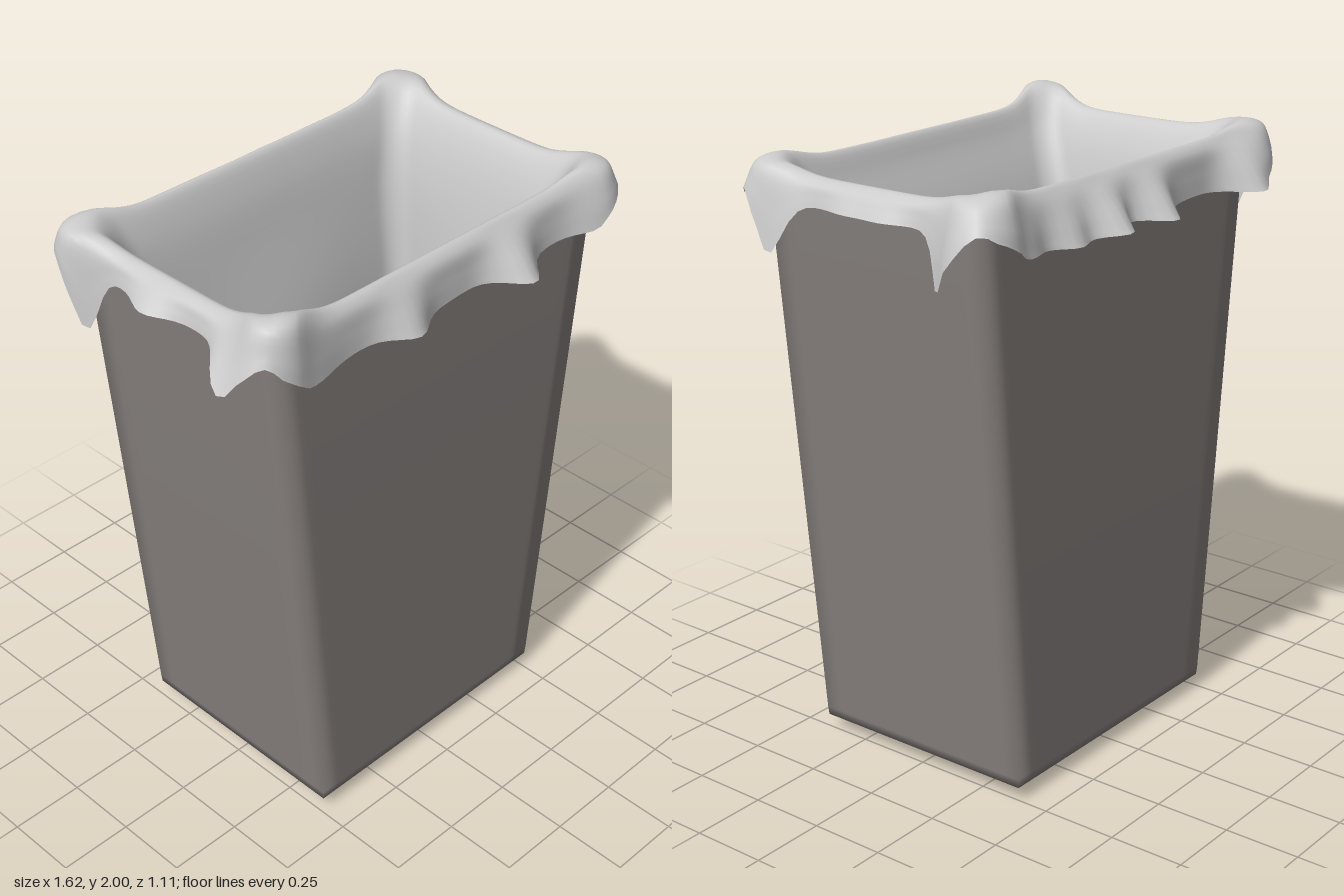
import * as THREE from 'three';

const LONG = 44, SHORT = 28, ARC = 8; // points per long side, short side and corner

// Rounded (or square-cornered) rectangle, same point order for every size, from +x through +z
function ring(hx, hz, r, cx = 0, cz = 0, square = false) {
  r = Math.min(r, hx, hz);
  const pts = [];
  const corners = [[1, 1], [-1, 1], [-1, -1], [1, -1]];
  corners.forEach(([sx, sz], k) => {
    const ax = sx * (hx - r), az = sz * (hz - r), start = k * Math.PI / 2;
    for (let i = 0; i <= ARC; i++) {
      const a = start + (i / ARC) * Math.PI / 2;
      const nx = Math.cos(a), nz = Math.sin(a);
      const q = square ? r / Math.max(Math.abs(nx), Math.abs(nz)) : r;
      pts.push({ x: cx + ax + q * nx, z: cz + az + q * nz, nx, nz });
    }
    // straight run to the next corner
    const [tx, tz] = corners[(k + 1) % 4];
    const n = k % 2 ? SHORT : LONG, e = start + Math.PI / 2;
    const nx = Math.cos(e), nz = Math.sin(e);
    const bx = tx * (hx - r), bz = tz * (hz - r);
    for (let i = 1; i < n; i++) {
      const t = i / n;
      pts.push({ x: cx + ax + (bx - ax) * t + r * nx, z: cz + az + (bz - az) * t + r * nz, nx, nz });
    }
  });
  return pts;
}

// Skin over closed rings of Vector3
function loft(rings) {
  const n = rings[0].length, pos = [], index = [];
  rings.forEach(rg => rg.forEach(p => pos.push(p.x, p.y, p.z)));
  for (let j = 0; j < rings.length - 1; j++) {
    for (let i = 0; i < n; i++) {
      const a = j * n + i, b = j * n + (i + 1) % n;
      index.push(a, a + n, b, b, a + n, b + n);
    }
  }
  const g = new THREE.BufferGeometry();
  g.setAttribute('position', new THREE.Float32BufferAttribute(pos, 3));
  g.setIndex(index);
  g.computeVertexNormals();
  return g;
}

// Tapered bin shell: underside, bevel, walls, lip, inner walls, inner floor
function createBin() {
  const sections = [
    [0.001, 0.001, 0], [0.36, 0.26, 0], [0.4, 0.3, 0.001], [0.5, 0.4, 0.05], [0.503, 0.402, 0.08],
    [0.59, 0.402, 0.98], [0.675, 0.402, 1.86], [0.668, 0.396, 1.87],
    [0.662, 0.39, 1.86], [0.48, 0.385, 0.07], [0.001, 0.001, 0.07],
  ];
  const shell = square => loft(sections.map(([hx, hz, y]) =>
    ring(hx, hz, 0.07, 0.01, 0, square).map(p => new THREE.Vector3(p.x, y, p.z))));
  // square plan, shaded softly as if the corners were round
  const geometry = shell(true);
  geometry.setAttribute('normal', shell(false).getAttribute('normal'));
  const mesh = new THREE.Mesh(geometry, new THREE.MeshStandardMaterial({ color: 0x87817e }));
  mesh.name = 'bin';
  return mesh;
}

// Places where the hem billows out: x, z, amount
const BILLOWS = [
  [0.25, 0.44, 0.11], [-0.2, 0.44, 0.07], [-0.55, 0.44, 0.015], [0.6, 0.44, 0.03],
  [-0.55, -0.44, 0.1], [-0.07, -0.44, 0.11], [0.17, -0.44, 0.11], [0.36, -0.44, 0.07], [0.55, -0.44, 0.04],
  [-0.7, -0.05, 0.05], [0.7, -0.08, 0.03], [0.7, 0.06, 0.025],
  [0.7, -0.36, 0.06], [0.7, 0.32, 0.04], [-0.7, 0.31, 0.09],
];

function createLiner() {
  // half width, half depth, height, corner radius, z shift
  const sections = [
    [0.34, 0, 0.12, 0, -0.03], [0.38, 0.07, 0.13, 0.05, -0.03], [0.46, 0.25, 0.35, 0.1, -0.02],
    [0.5, 0.28, 0.75, 0.12, -0.02], [0.515, 0.22, 1.2, 0.06, -0.035], [0.55, 0.295, 1.66, 0.08, -0.02],
    [0.6, 0.355, 1.85, 0.08, 0], [0.65, 0.395, 1.925, 0.08, 0], [0.695, 0.43, 1.91, 0.07, 0],
    [0.705, 0.44, 1.85, 0.07, 0], [0.71, 0.445, 1.77, 0.07, 0],
  ];
  const RIM = 7, HEM = 10, STEPS = 48;
  // extra width at the corners and share of the corner peak, from the inner rim to the hem
  const CORNER_OUT = [0, 0.02, 0.05, 0.06, 0.055], PEAK_SHARE = [0.2, 0.75, 1, 0.6, 0];
  const bases = sections.map(([hx, hz, , r, cz]) => ring(hx, hz, r, 0.005, cz));
  const rings = Array.from({ length: STEPS + 1 }, () => []);
  bases[HEM].forEach((h, i) => {
    const ax = Math.abs(h.x), az = Math.abs(h.z);
    const cornerDist = (0.7 - ax) ** 2 + (0.44 - az) ** 2;
    const corner = Math.exp(-cornerDist / 0.016);
    const billow = BILLOWS.reduce((s, [x, z, amt]) =>
      s + amt * Math.exp(-((h.x - x) ** 2 + (h.z - z) ** 2) / 0.007), 0);
    const side = THREE.MathUtils.smoothstep(Math.abs(h.nx), 0.5, 1);
    // hem is high mid-side, drops in flaps beside each corner, and arches up at it
    const flap = Math.exp(-((az - 0.335) ** 2) / 0.004);
    const flapDrop = h.x > 0 ? 0.155 : h.z > 0 ? 0.08 : 0.2;
    const frontHem = 1.775 + 0.005 * Math.sin(h.x * 14);
    const hemY = THREE.MathUtils.lerp(frontHem, 1.85 - flapDrop * flap, side)
      + 0.085 * Math.exp(-cornerDist / 0.0035);
    const peak = h.x < 0 && h.z > 0 ? 0.08 : 0.045;
    const spread = h.z > 0 ? 0.7 : 1;
    const path = sections.map(([, , y], j) => {
      const p = bases[j][i];
      let out = 0;
      if (j >= RIM - 1) {
        const k = j - RIM + 1;
        out = CORNER_OUT[k] * corner * spread;
        y += PEAK_SHARE[k] * peak * corner;
      }
      if (j === RIM) y += 0.01 * (1 - side); // long rims stand slightly higher
      if (j === 4) out = 0.012 * Math.sin(h.x * 5 + h.z * 4); // inner creases
      if (j === HEM - 1) {
        out += billow * 0.55;
        y = THREE.MathUtils.lerp(1.9 + 0.5 * peak * corner, hemY, 0.45);
      }
      if (j === HEM) { out += billow; y = hemY; }
      return new THREE.Vector3(p.x + p.nx * out, y, p.z + p.nz * out);
    });
    const curve = new THREE.CatmullRomCurve3(path, false, 'centripetal');
    for (let s = 0; s <= STEPS; s++) rings[s].push(curve.getPoint(s / STEPS));
  });
  // the skin runs inside-up then outside-down, so both faces are drawn
  const mesh = new THREE.Mesh(loft(rings),
    new THREE.MeshStandardMaterial({ color: 0xcccccc, side: THREE.DoubleSide }));
  mesh.name = 'binLiner';
  return mesh;
}

export function createModel() {
  const group = new THREE.Group();
  group.name = 'linedWasteBin';
  group.add(createBin(), createLiner());
  return group;
}
